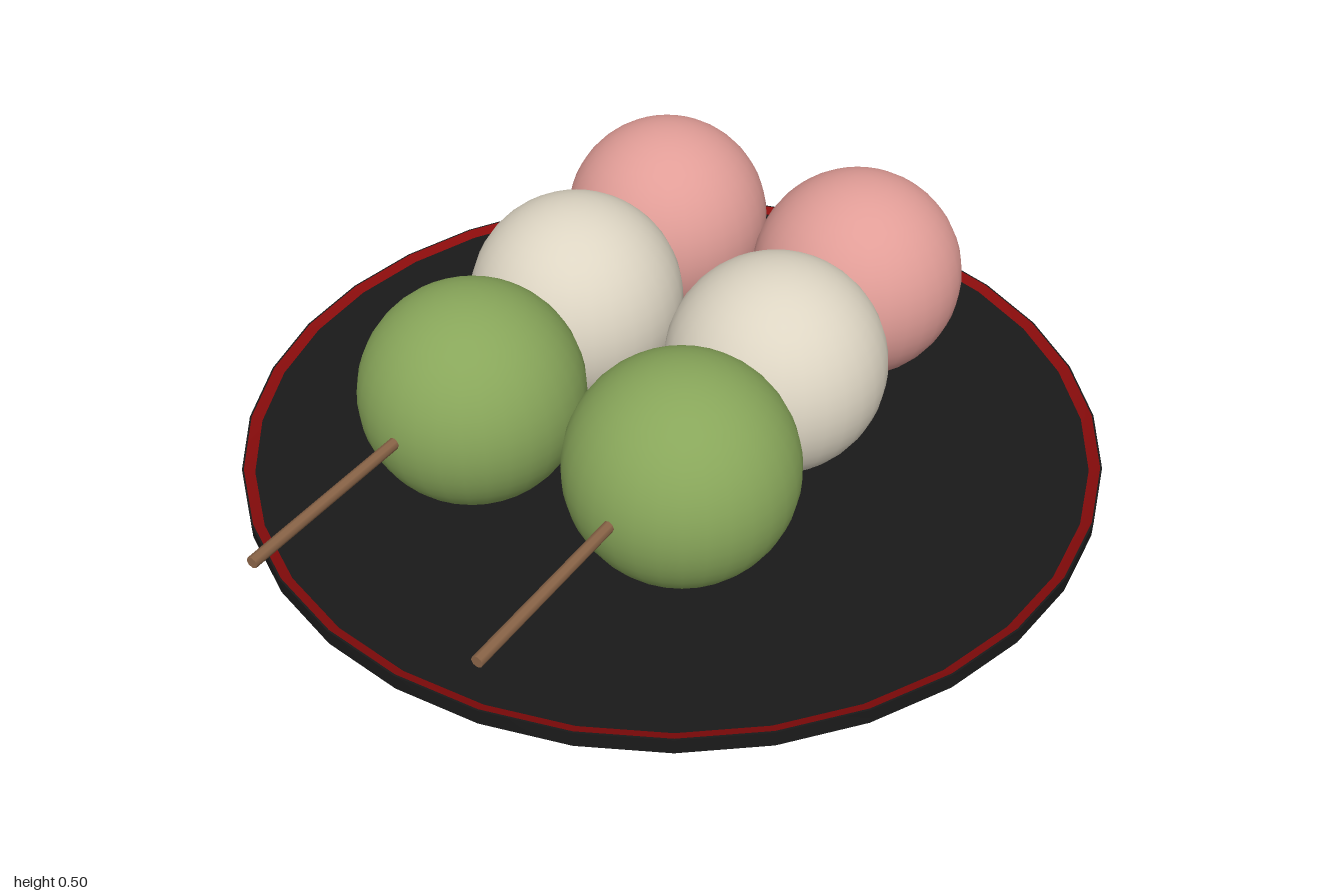
import * as THREE from 'three';
import { toCreasedNormals } from 'three/addons/utils/BufferGeometryUtils.js';

const mat = (name, color, side = THREE.FrontSide) => {
  const m = new THREE.MeshStandardMaterial({ color, side });
  m.name = name;
  return m;
};

export function createModel() {
  const group = new THREE.Group();
  const black = mat('black lacquer', 0x1a1a1a);
  const red = mat('red lacquer', 0x8b0c0c);
  const wood = mat('bamboo', 0x8b6548);
  const green = mat('green dough', 0x88a65a);
  const cream = mat('cream dough', 0xddd5c3);
  const pink = mat('pink dough', 0xe19d97);

  const add = (name, geometry, material, parent) => {
    const mesh = new THREE.Mesh(geometry, material);
    mesh.name = name;
    parent.add(mesh);
    return mesh;
  };
  const lathe = (points) => toCreasedNormals(
    new THREE.LatheGeometry(points.map(([r, y]) => new THREE.Vector2(r, y)), 32), 0.5);

  // Shallow round plate with a red inner rim
  const plate = new THREE.Group();
  plate.name = 'plate';
  plate.position.z = -0.045;
  group.add(plate);
  add('plateBody', lathe([[0, 0], [0.955, 0], [0.955, 0.035], [0.951, 0.035]]), black, plate);
  add('plateRim', lathe([[0.951, 0.035], [0.928, 0.024]]), red, plate);
  add('plateFloor', lathe([[0.928, 0.024], [0, 0.024]]), black, plate);

  // Skewers: three overlapping dumplings on a stick
  const ball = new THREE.SphereGeometry(0.24, 32, 24);
  const colours = [['greenDumpling', green], ['creamDumpling', cream], ['pinkDumpling', pink]];
  const stickLength = 1.4;
  const stickGeometry = new THREE.CylinderGeometry(0.0125, 0.0125, stickLength, 8);
  stickGeometry.rotateX(Math.PI / 2);

  [['leftSkewer', 0.105, 0.395], ['rightSkewer', -0.37, 0.235]].forEach(([name, x, z]) => {
    const skewer = new THREE.Group();
    skewer.name = name;
    skewer.position.set(x, 0, z);
    colours.forEach(([part, material], i) => {
      add(part, ball, material, skewer).position.set(0.132 * i, 0.264, -0.382 * i);
    });
    // Stick runs from its free front end back into the pink dumpling
    const angle = -0.365;
    const stick = add('stick', stickGeometry, wood, skewer);
    stick.rotation.y = angle;
    stick.position.set(-0.245 - Math.sin(angle) * stickLength / 2, 0.278,
      0.6 - Math.cos(angle) * stickLength / 2);
    group.add(skewer);
  });

  return group;
}
